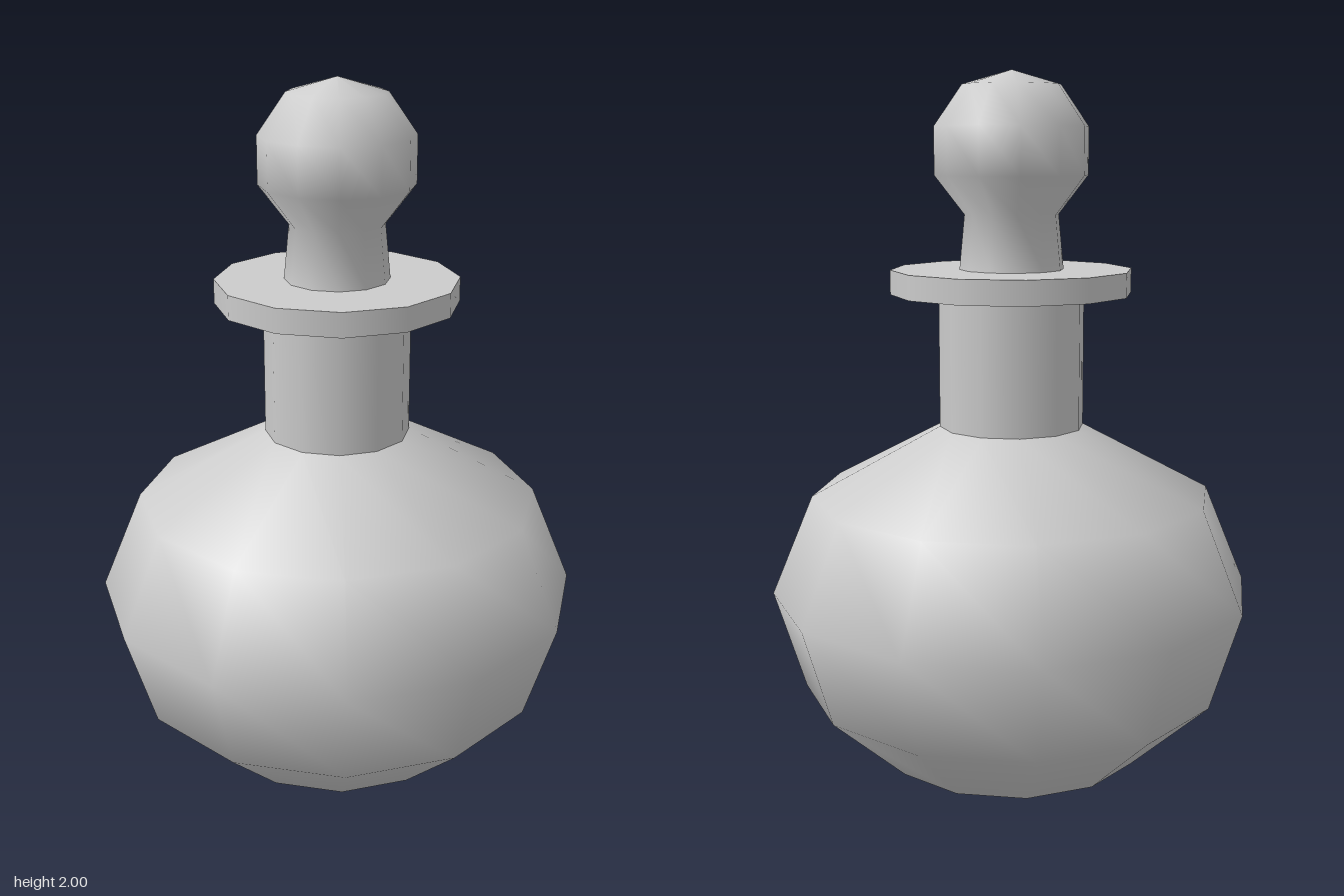
import * as THREE from 'three';

const SIDES = 12;

export function createModel() {
  const group = new THREE.Group();
  const material = new THREE.MeshStandardMaterial({ color: 0xcccccc });

  // Revolve a [radius, height] profile; separate lathes keep the edges between them sharp
  const turn = (name, profile) => {
    const points = profile.map(([r, y]) => new THREE.Vector2(r, y));
    const mesh = new THREE.Mesh(new THREE.LatheGeometry(points, SIDES), material);
    mesh.name = name;
    group.add(mesh);
  };

  // Round flask
  turn('base', [[0, 0], [0.385, 0]]);
  turn('body', [[0.385, 0], [0.615, 0.21], [0.705, 0.5], [0.585, 0.79], [0.21, 0.99]]);
  turn('neck', [[0.21, 0.99], [0.21, 1.375]]);

  // Flat lip around the mouth
  turn('lipUnderside', [[0.21, 1.375], [0.348, 1.375]]);
  turn('lipRim', [[0.348, 1.375], [0.348, 1.445]]);
  turn('lipTop', [[0.348, 1.445], [0.15, 1.445]]);

  // Stopper with a ball knob
  turn('stopper', [
    [0.15, 1.445], [0.135, 1.6], [0.22, 1.71], [0.22, 1.845], [0.14, 1.96], [0, 2],
  ]);

  return group;
}
